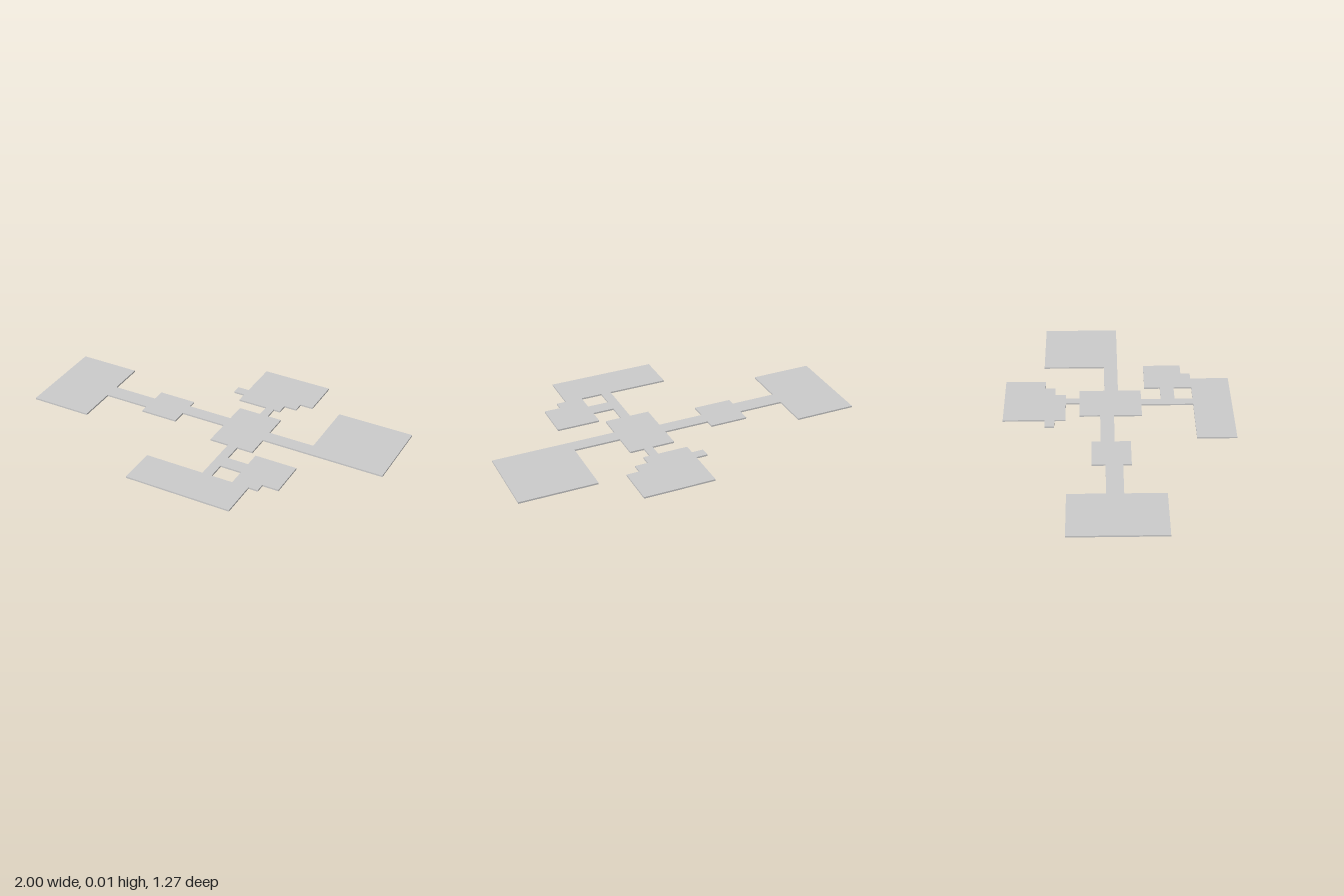
import * as THREE from 'three';

const THICKNESS = 0.009;

export function createModel() {
  const model = new THREE.Group();
  model.name = 'floorPlan';
  const material = new THREE.MeshStandardMaterial({ color: 0xcccccc, flatShading: true });

  // Flat slab from a plan outline of [x, z] corners
  function slab(name, corners) {
    const shape = new THREE.Shape(corners.map(([x, z]) => new THREE.Vector2(x, -z)));
    const geometry = new THREE.ExtrudeGeometry(shape, { depth: THICKNESS, bevelEnabled: false });
    geometry.rotateX(-Math.PI / 2);
    const mesh = new THREE.Mesh(geometry, material);
    mesh.name = name;
    model.add(mesh);
  }

  // Rectangular slab between two plan corners
  const rect = (name, x0, x1, z0, z1) => slab(name, [[x0, z0], [x0, z1], [x1, z1], [x1, z0]]);

  // Central hall
  rect('centralHall', 0.06, 0.312, -0.217, 0.128);

  // West wing: corridor, anteroom, corridor, large room
  rect('westInnerCorridor', -0.195, 0.06, -0.102, -0.026);
  rect('westAnteroom', -0.406, -0.195, -0.15, 0.06);
  rect('westOuterCorridor', -0.66, -0.406, -0.077, 0.015);
  rect('westRoom', -1, -0.66, -0.279, 0.235);

  // East wing
  rect('eastCorridor', 0.312, 0.572, -0.077, 0);
  rect('eastRoom', 0.572, 1, -0.422, 0);

  // North wing: stepped room with a small alcove on its west side
  rect('northCorridor', 0.185, 0.233, -0.293, -0.217);
  slab('northRoom', [
    [0.018, -0.636], [0.018, -0.293], [0.27, -0.293], [0.27, -0.353],
    [0.342, -0.353], [0.342, -0.41], [0.414, -0.41], [0.414, -0.636],
  ]);
  rect('northAlcove', -0.046, 0.018, -0.406, -0.353);

  // South wing: long room, with a stepped side room off the corridor
  rect('southCorridor', 0.168, 0.222, 0.128, 0.417);
  rect('southRoom', -0.164, 0.436, 0.417, 0.633);
  rect('sideCorridor', 0.222, 0.342, 0.238, 0.316);
  slab('sideRoom', [
    [0.342, 0.15], [0.342, 0.417], [0.489, 0.417],
    [0.489, 0.364], [0.58, 0.364], [0.58, 0.15],
  ]);

  return model;
}
